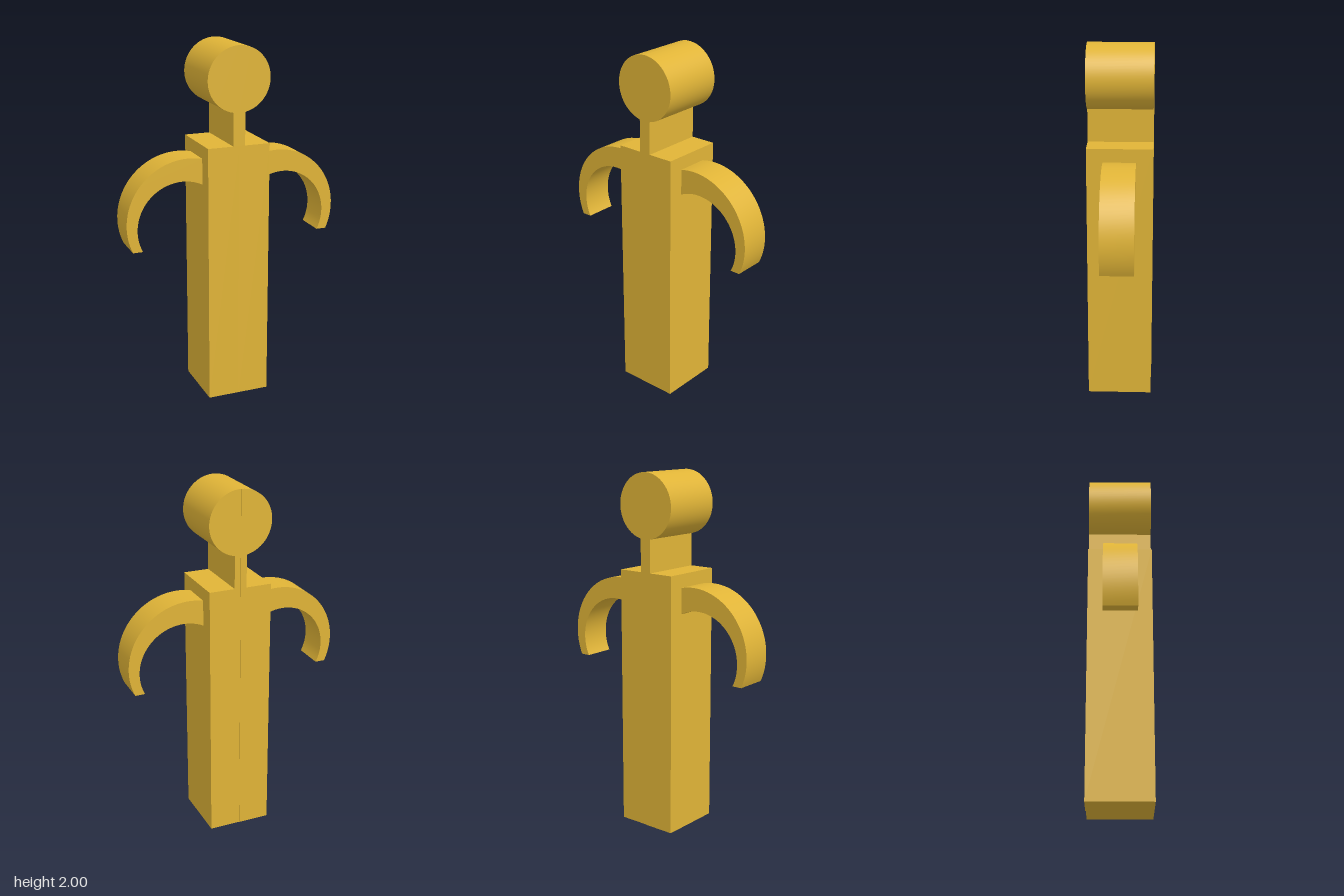
import * as THREE from 'three';
import { toCreasedNormals } from 'three/addons/utils/BufferGeometryUtils.js';

const material = new THREE.MeshStandardMaterial({ color: 0xe0b437 });

// Points along a circular arc, from angle a to angle b
function arc(cx, cy, r, a, b, n = 32) {
  return Array.from({ length: n + 1 }, (_, i) => {
    const t = a + (b - a) * i / n;
    return [cx + r * Math.cos(t), cy + r * Math.sin(t)];
  });
}

// Extrudes an outline from z = back to z = front; side -1 mirrors it to -x
function slab(name, points, side, back, front) {
  const shape = new THREE.Shape(points.map(([x, y]) => new THREE.Vector2(x * side, y)));
  const geometry = new THREE.ExtrudeGeometry(shape, { depth: front - back, bevelEnabled: false });
  geometry.translate(0, 0, back);
  const mesh = new THREE.Mesh(toCreasedNormals(geometry, 0.5), material);
  mesh.name = name;
  return mesh;
}

export function createModel() {
  const model = new THREE.Group();
  model.name = 'figure';
  const half = 0.178, neck = 0.034, headY = 1.822;

  // Half outlines on the +x side
  const torso = [[0, 0], [half, 0], [half, 1.465], [0, 1.465]];
  const neckOutline = [[0, 1.465], [neck, 1.465], [neck, 1.66], [0, 1.66]];
  const head = arc(0, headY, half, -Math.PI / 2, Math.PI / 2);

  // Curved, tapering arm between two offset circles, cut flat at the hand
  const oc = [0.26, 1.05, 0.35], ic = [0.295, 1.02, 0.255], handY = 0.905;
  const rootAngle = ([cx, , r]) => Math.acos((half - cx) / r);
  const handAngle = ([, cy, r]) => Math.asin((handY - cy) / r);
  const arm = [
    ...arc(...oc, rootAngle(oc), handAngle(oc)),
    ...arc(...ic, handAngle(ic), rootAngle(ic)),
  ];

  // Two mirrored halves; the right one stands slightly proud at the back
  for (const [side, label, step] of [[1, 'left', 0], [-1, 'right', 0.003]]) {
    const group = new THREE.Group();
    group.name = label + 'Half';
    const back = -0.179 - step;
    group.add(
      slab(label + 'Torso', torso, side, back, 0.179),
      slab(label + 'Neck', neckOutline, side, back, 0.179),
      slab(label + 'Head', head, side, back, 0.179),
      slab(label + 'Arm', arm, side, -0.0895 - step, 0.0895),
    );
    model.add(group);
  }
  return model;
}
